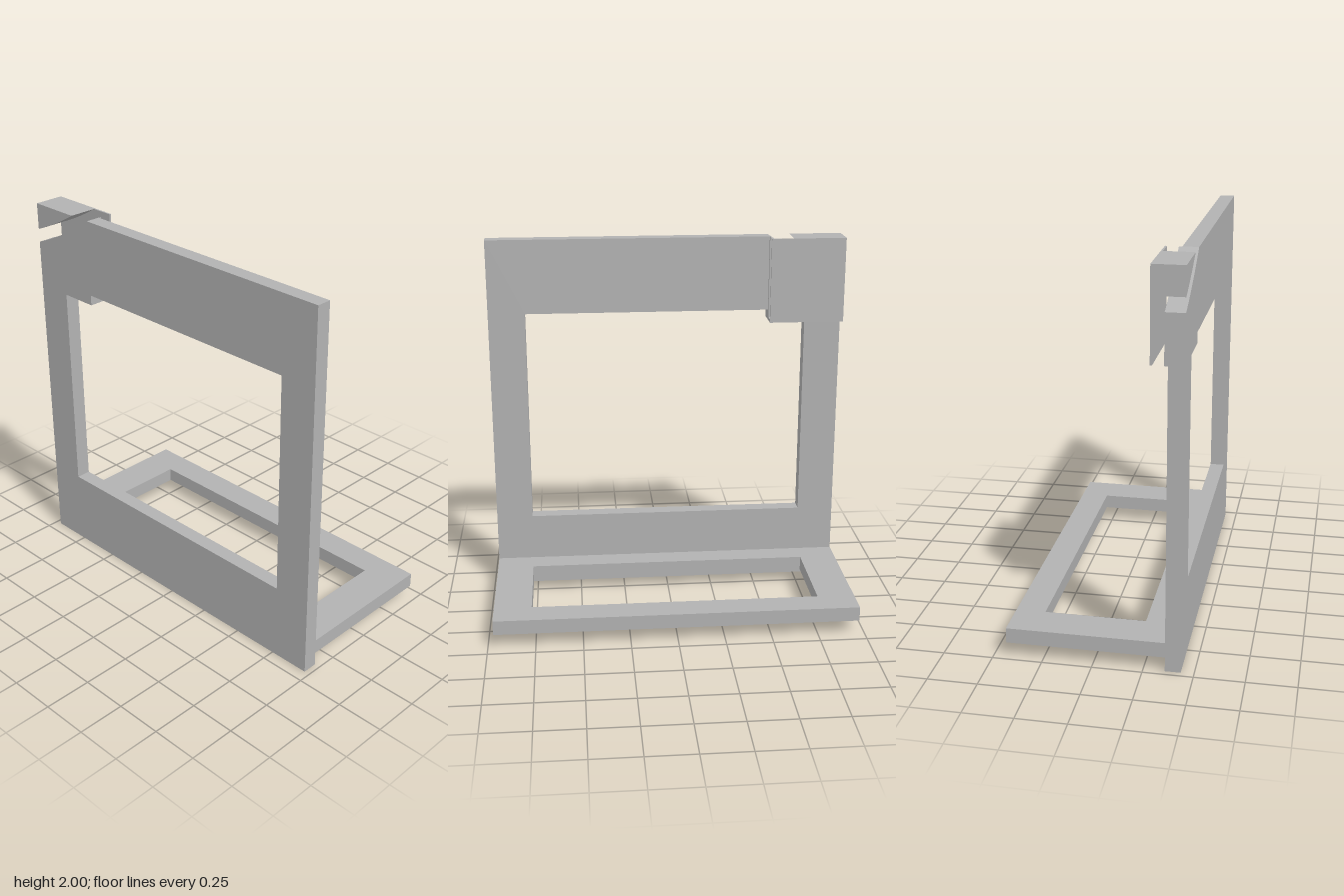
import * as THREE from 'three';

const W = 0.97;         // half width
const INNER = 0.77;     // half width of both openings
const TAB_X = -0.565;   // inner edge of the corner holder
const TAB_Y = 1.54;     // lower edge of the corner holder

export function createModel() {
  const model = new THREE.Group();
  const grey = new THREE.MeshStandardMaterial({ color: 0xb2b2b2 });
  grey.name = 'plain grey';

  const add = (name, geometry) => {
    const mesh = new THREE.Mesh(geometry, grey);
    mesh.name = name;
    model.add(mesh);
    return mesh;
  };
  const polygon = (points, Type = THREE.Shape) => new Type(points.map(([x, y]) => new THREE.Vector2(x, y)));
  // Upright plate between two depths
  const plate = (name, shape, z0, z1) => add(name, new THREE.ExtrudeGeometry(shape, {
    depth: z1 - z0, bevelEnabled: false, curveSegments: 16,
  }).translate(0, 0, z0));
  // Box given by its limits
  const block = (name, x0, x1, y0, y1, z0, z1) => add(name,
    new THREE.BoxGeometry(x1 - x0, y1 - y0, z1 - z0)
      .translate((x0 + x1) / 2, (y0 + y1) / 2, (z0 + z1) / 2));

  // Front frame: curved cut at the upper corner, tab in the opening
  const front = new THREE.Shape();
  front.moveTo(-W, 0);
  front.lineTo(W, 0);
  front.lineTo(W, 2);
  front.lineTo(TAB_X, 2);
  front.quadraticCurveTo(-0.755, 1.87, -W, 1.787);
  front.closePath();
  front.holes.push(polygon([
    [-INNER, 0.41], [-INNER, TAB_Y], [TAB_X, TAB_Y], [TAB_X, 1.595], [INNER, 1.595], [INNER, 0.41],
  ], THREE.Path));
  plate('frontFrame', front, 0.357, 0.435);

  // Thickening behind the corner, following the same curve
  const backing = new THREE.Shape();
  backing.moveTo(-W, TAB_Y);
  backing.lineTo(TAB_X, TAB_Y);
  backing.lineTo(TAB_X, 2);
  backing.quadraticCurveTo(-0.755, 1.87, -W, 1.787);
  backing.closePath();
  plate('cornerBacking', backing, 0.34, 0.357);

  // Corner piece left above the curved slot
  const corner = new THREE.Shape();
  corner.moveTo(-W, 1.858);
  corner.quadraticCurveTo(-0.821, 1.918, -0.685, 2);
  corner.lineTo(-W, 2);
  corner.closePath();
  plate('cornerPiece', corner, 0.285, 0.435);

  // Thin rear plate and the small bridge that joins it
  block('rearPlate', -W, TAB_X, TAB_Y, 2, 0.275, 0.285);
  block('bridge', -0.6, TAB_X, TAB_Y, 1.557, 0.285, 0.34);

  // Flat foot frame, drawn in x and -z and laid down
  const foot = polygon([[-W, -0.357], [W, -0.357], [W, 0.435], [-W, 0.435]]);
  foot.holes.push(polygon([
    [-INNER, -0.23], [-INNER, 0.285], [INNER, 0.285], [INNER, -0.23],
  ], THREE.Path));
  plate('footFrame', foot, 0.075, 0.153).geometry.rotateX(-Math.PI / 2);

  return model;
}
